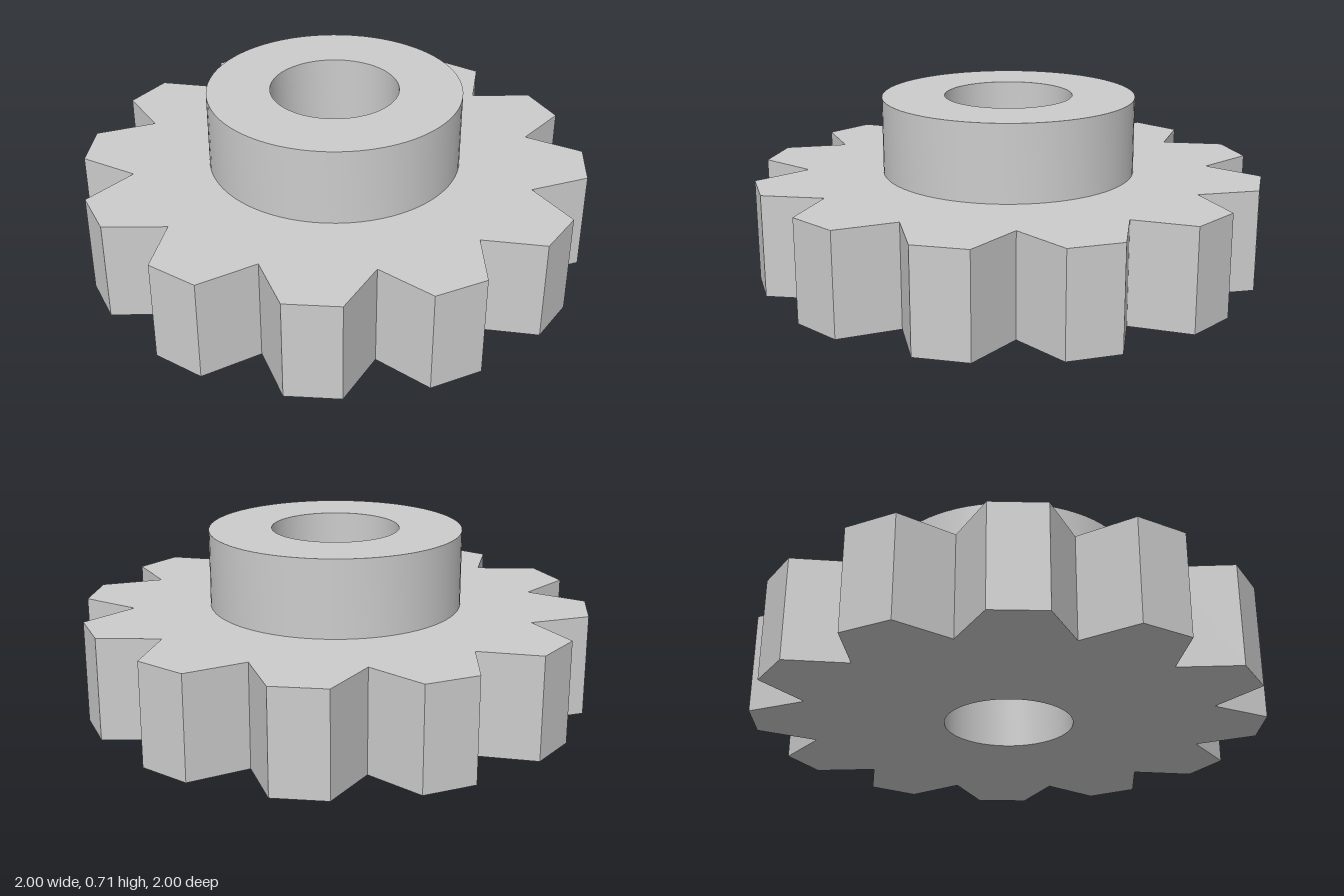
import * as THREE from 'three';
import { toCreasedNormals } from 'three/addons/utils/BufferGeometryUtils.js';

const TEETH = 12;
const ROOT_RADIUS = 0.81, TIP_RADIUS = 1.0125;
const HUB_RADIUS = 0.505, BORE_RADIUS = 0.255;
const GEAR_HEIGHT = 0.405, TOTAL_HEIGHT = 0.71;

// Toothed outline: a sharp valley, then a flat-tipped tooth
function gearOutline() {
  const points = [];
  const pitch = (Math.PI * 2) / TEETH;
  const add = (r, a) => points.push(new THREE.Vector2(r * Math.cos(a), r * Math.sin(a)));
  for (let i = 0; i < TEETH; i++) {
    add(ROOT_RADIUS, i * pitch);
    add(TIP_RADIUS, (i + 0.3) * pitch);
    add(TIP_RADIUS, (i + 0.7) * pitch);
  }
  return new THREE.Shape(points);
}

// Extrudes an outline upward with the shaft bore cut through it
function boredPart(name, shape, bottom, top, material) {
  shape.holes.push(new THREE.Path().absarc(0, 0, BORE_RADIUS, 0, Math.PI * 2, true));
  const extruded = new THREE.ExtrudeGeometry(shape, {
    depth: top - bottom, bevelEnabled: false, curveSegments: 36,
  });
  extruded.rotateX(-Math.PI / 2);
  extruded.translate(0, bottom, 0);
  extruded.clearGroups();
  const mesh = new THREE.Mesh(toCreasedNormals(extruded, 0.4), material);
  mesh.name = name;
  return mesh;
}

export function createModel() {
  const steel = new THREE.MeshStandardMaterial({ color: 0xcccccc });
  steel.name = 'light grey metal';

  const hubOutline = new THREE.Shape().absarc(0, 0, HUB_RADIUS, 0, Math.PI * 2, false);

  const group = new THREE.Group();
  group.name = 'sprocket';
  group.add(
    boredPart('toothedWheel', gearOutline(), 0, GEAR_HEIGHT, steel),
    boredPart('hub', hubOutline, GEAR_HEIGHT, TOTAL_HEIGHT, steel),
  );
  return group;
}
